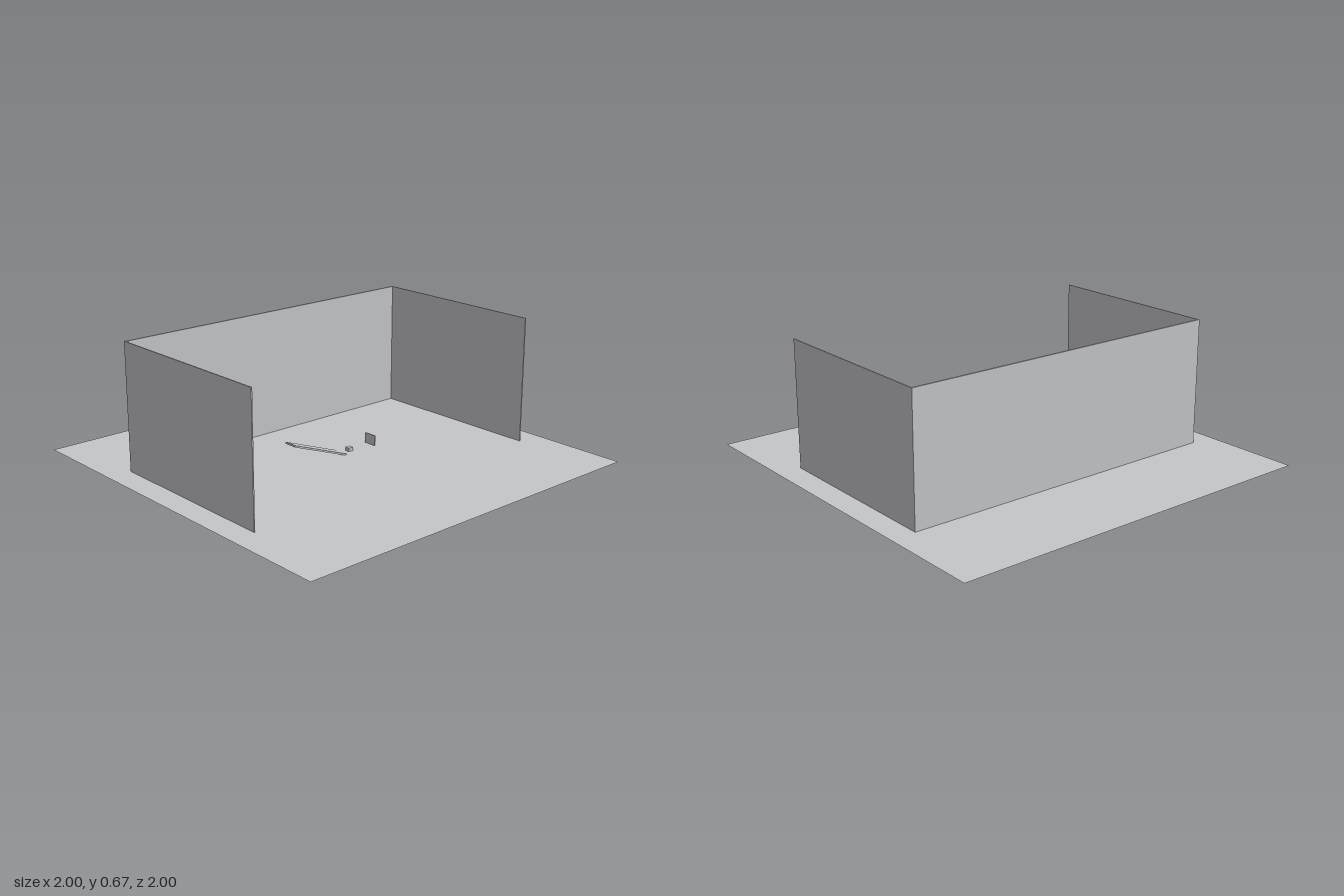
import * as THREE from 'three';

export function createModel() {
  const model = new THREE.Group();
  const grey = new THREE.MeshStandardMaterial({ name: 'lightGrey', color: 0xc5c6c8, side: THREE.DoubleSide });

  const add = (name, geometry) => {
    const mesh = new THREE.Mesh(geometry, grey);
    mesh.name = name;
    model.add(mesh);
    return mesh;
  };
  // Box given by its limits on each axis
  const box = (name, [x0, x1], [y0, y1], [z0, z1]) =>
    add(name, new THREE.BoxGeometry(x1 - x0, y1 - y0, z1 - z0)
      .translate((x0 + x1) / 2, (y0 + y1) / 2, (z0 + z1) / 2));

  const floorY = 0.017;

  // Flat sheet of ground
  add('ground', new THREE.PlaneGeometry(2, 2).rotateX(-Math.PI / 2).translate(0, floorY, 0));

  // Three walls, open to the front
  const wallY = [floorY, 0.67];
  box('backWall', [-0.873, 0.873], wallY, [-0.485, -0.475]);
  box('rightWall', [-0.873, -0.867], wallY, [-0.475, 0.479]);
  box('leftWall', [0.867, 0.873], wallY, [-0.475, 0.479]);

  // Flat track sunk just under the ground
  box('track', [0.08, 0.4], [0, 0.014], [-0.035, 0.035]);

  // Sloping ramp with a tapered lower end
  const outline = new THREE.Shape([
    [-0.38, -0.035], [-0.02, -0.035], [0, -0.027],
    [0, 0.027], [-0.02, 0.035], [-0.38, 0.035],
  ].map(([x, y]) => new THREE.Vector2(x, y)));
  const ramp = add('ramp', new THREE.ExtrudeGeometry(outline, { depth: 0.009, bevelEnabled: false })
    .rotateX(-Math.PI / 2));
  ramp.rotation.z = -0.358;
  ramp.position.set(0.083, 0.004, 0);

  // Small block and upright stop plate
  box('block', [0.1, 0.128], [0.01, 0.036], [-0.014, 0.014]);
  box('stopPlate', [0.257, 0.262], [0.01, 0.071], [-0.035, 0.035]);

  return model;
}
